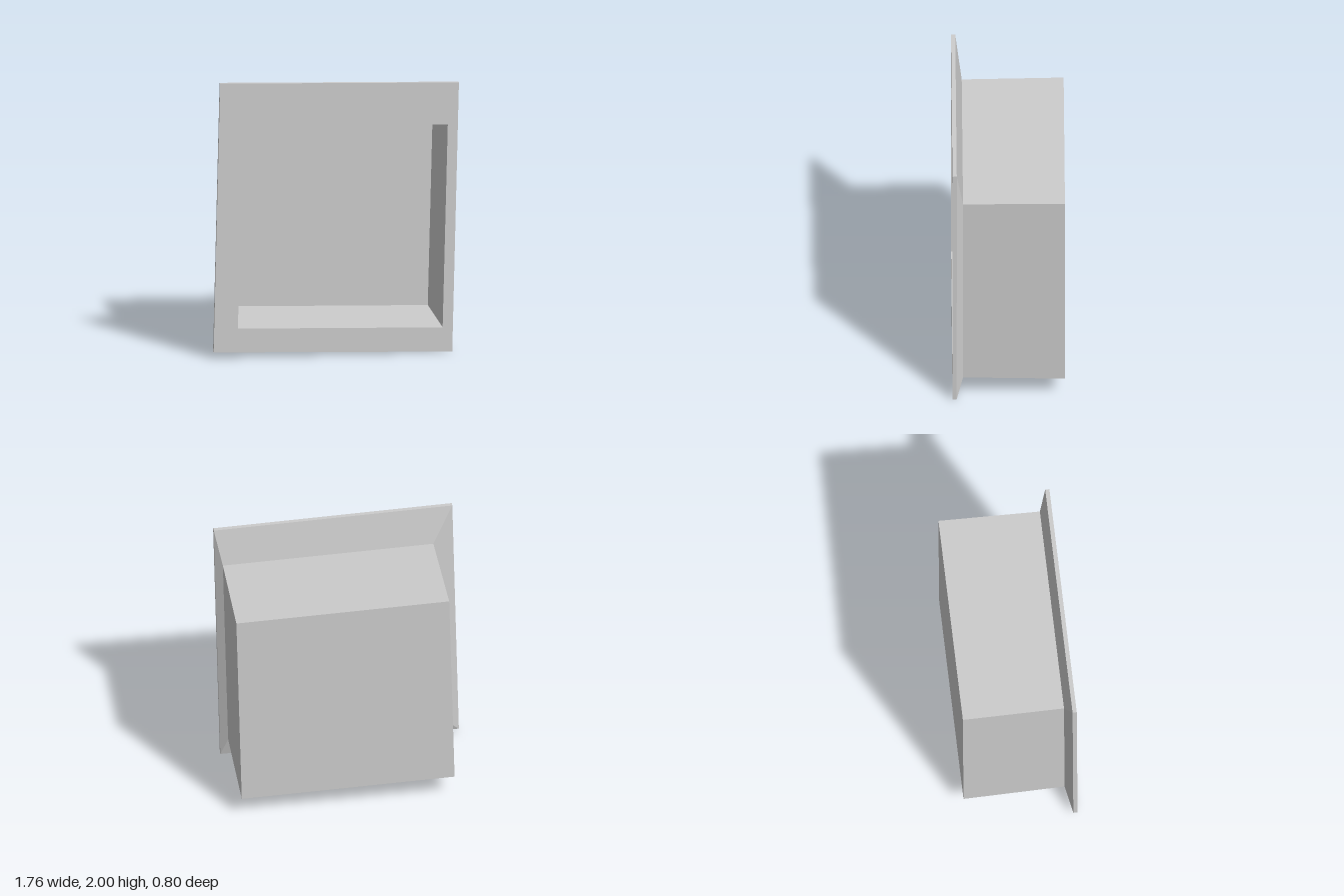
import * as THREE from 'three';

// Four-cornered cross-section: top left, top right, bottom right, bottom left
const ring = (z, ...corners) => corners.map(([x, y]) => [x, y, z]);

// Flat-sided skin through successive rings, with an optional end cap
function skin(name, rings, material, cap) {
  const pos = [];
  const quad = (a, b, c, d) => pos.push(...a, ...b, ...c, ...a, ...c, ...d);
  for (let r = 0; r < rings.length - 1; r++) {
    for (let i = 0; i < 4; i++) {
      const j = (i + 1) % 4;
      quad(rings[r][i], rings[r][j], rings[r + 1][j], rings[r + 1][i]);
    }
  }
  if (cap === 'first') quad(...[...rings[0]].reverse());
  if (cap === 'last') quad(...rings[rings.length - 1]);
  const geometry = new THREE.BufferGeometry();
  geometry.setAttribute('position', new THREE.Float32BufferAttribute(pos, 3));
  geometry.computeVertexNormals();
  const mesh = new THREE.Mesh(geometry, material);
  mesh.name = name;
  return mesh;
}

export function createModel() {
  const group = new THREE.Group();
  group.name = 'recessedBox';
  const grey = new THREE.MeshStandardMaterial({ color: 0xcccccc });
  grey.name = 'light grey';

  // Slightly tilted outlines of the opening, the rim and the box behind it
  const opening = [[-0.67, 1.69], [0.8, 1.655], [0.763, 0.178], [-0.708, 0.213]];
  const rim = [[-0.835, 2], [0.88, 1.957], [0.832, 0], [-0.882, 0.045]];
  const neck = [[-0.692, 1.712], [0.821, 1.677], [0.783, 0.155], [-0.73, 0.192]];
  const back = [[-0.7, 1.72], [0.83, 1.684], [0.791, 0.147], [-0.739, 0.184]];

  const innerBack = ring(-0.355, ...opening);
  const innerFront = ring(0.4, ...opening);
  const boxFront = ring(0.325, ...neck);

  // Inside walls and inside back
  group.add(skin('cavity', [innerBack, innerFront], grey, 'first'));
  // Front face, thin edge and sloped rear of the rim
  group.add(skin('flange', [innerFront, ring(0.4, ...rim), ring(0.37, ...rim), boxFront], grey));
  // Outer walls and back
  group.add(skin('outerBox', [boxFront, ring(-0.4, ...back)], grey, 'last'));
  return group;
}
